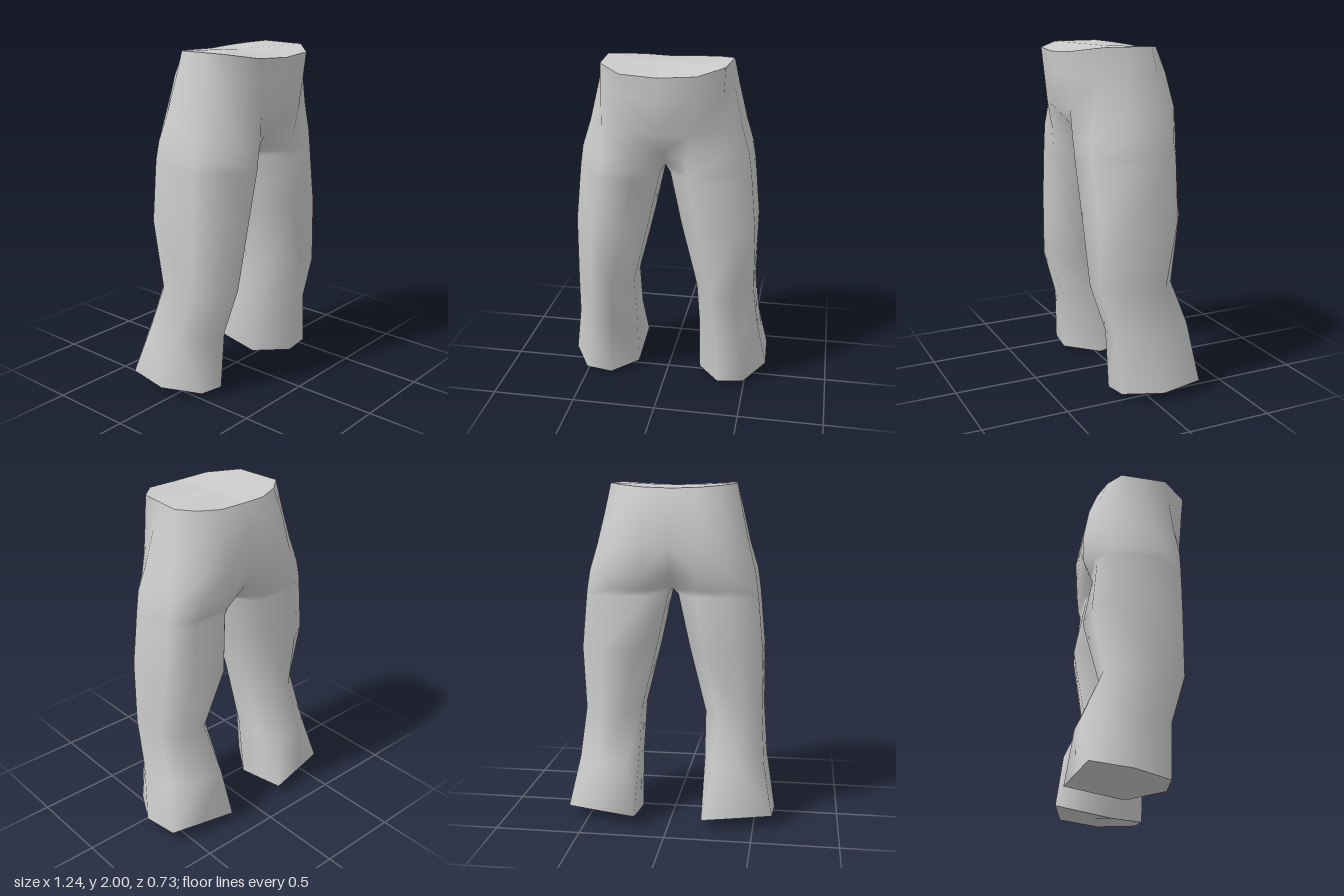
import * as THREE from 'three';
import { mergeVertices } from 'three/addons/utils/BufferGeometryUtils.js';

// Each section runs front inner, front outer, outer front, outer back,
// back outer, back inner, inner back, inner front as [x, z] of the left half.
const HEM_Y = [0.02, 0.035, 0.05, 0.08, 0.07, 0.06, 0.03, 0];
const WAIST_Y = [1.975, 2, 2, 2, 1.99, 1.98, 1.975, 1.965];

const legSections = [
  [HEM_Y, [[0.34, 0.17], [0.5, 0.16], [0.62, -0.055], [0.61, -0.29], [0.42, -0.325], [0.2, -0.365], [0.2, -0.2], [0.2, -0.03]]],
  [0.37, [[0.32, 0.18], [0.46, 0.18], [0.565, 0.03], [0.555, -0.2], [0.42, -0.31], [0.25, -0.32], [0.2, -0.17], [0.2, 0.02]]],
  [0.65, [[0.3, 0.268], [0.43, 0.265], [0.54, 0.12], [0.535, -0.1], [0.43, -0.19], [0.28, -0.195], [0.195, -0.08], [0.195, 0.11]]],
  [1.04, [[0.22, 0.28], [0.42, 0.268], [0.535, 0.13], [0.535, -0.17], [0.4, -0.255], [0.2, -0.28], [0.1, -0.1], [0.1, 0.12]]],
  [1.36, [[0.16, 0.295], [0.36, 0.28], [0.505, 0.12], [0.505, -0.17], [0.36, -0.225], [0.14, -0.22], [0.03, -0.1], [0.03, 0.11]]],
];

// From the crotch upward the two inner points lie on the centre line.
const hipSections = [
  [1.4, [[0.16, 0.297], [0.355, 0.28], [0.5, 0.12], [0.5, -0.17], [0.35, -0.24], [0.14, -0.235], [0, -0.13], [0, 0.1]]],
  [1.5, [[0.15, 0.305], [0.34, 0.28], [0.485, 0.12], [0.485, -0.16], [0.34, -0.255], [0.15, -0.28], [0, -0.23], [0, 0.21]]],
  [1.65, [[0.17, 0.325], [0.34, 0.25], [0.44, 0.1], [0.445, -0.13], [0.32, -0.255], [0.17, -0.285], [0, -0.28], [0, 0.35]]],
  [1.85, [[0.2, 0.335], [0.345, 0.22], [0.395, 0.08], [0.4, -0.1], [0.3, -0.205], [0.16, -0.25], [0, -0.248], [0, 0.36]]],
  [WAIST_Y, [[0.21, 0.345], [0.35, 0.2], [0.36, 0.06], [0.37, -0.08], [0.28, -0.155], [0.15, -0.2], [0, -0.195], [0, 0.365]]],
];

const toLoop = ([y, pts]) => pts.map(([x, z], i) => new THREE.Vector3(x, Array.isArray(y) ? y[i] : y, z));
const mirror = (v) => new THREE.Vector3(-v.x, v.y, v.z);

function fromTriangles(tris) {
  const g = new THREE.BufferGeometry().setFromPoints(tris.flat());
  g.computeVertexNormals();
  return g;
}

// Flat fan closing a loop that runs counterclockwise as seen from its outside
function cap(loop) {
  const c = loop.reduce((s, v) => s.add(v), new THREE.Vector3()).divideScalar(loop.length);
  return fromTriangles(loop.map((v, i) => [c, v, loop[(i + 1) % loop.length]]));
}

export function createModel() {
  const cloth = new THREE.MeshStandardMaterial({ color: 0xcccccc });
  cloth.name = 'grey cloth';
  const group = new THREE.Group();
  group.name = 'trousers';
  const add = (name, geometry) => {
    const mesh = new THREE.Mesh(geometry, cloth);
    mesh.name = name;
    group.add(mesh);
  };

  // Cloth surface: legs are closed tubes, hips are open at the centre line
  const loops = [...legSections, ...hipSections].map(toLoop);
  const tris = [];
  for (let r = 0; r < loops.length - 1; r++) {
    for (let j = 0; j < 8; j++) {
      if (j === 6 && r >= legSections.length) continue;
      const k = (j + 1) % 8;
      const [a, b, c, d] = [loops[r][j], loops[r][k], loops[r + 1][k], loops[r + 1][j]];
      tris.push([a, b, c], [a, c, d]);
    }
  }
  const mirrored = tris.map(([a, b, c]) => [mirror(a), mirror(c), mirror(b)]);
  const surface = fromTriangles([...tris, ...mirrored]);
  surface.deleteAttribute('normal');
  const smooth = mergeVertices(surface, 1e-4);
  smooth.computeVertexNormals();
  add('trouserCloth', smooth);

  // Hem caps
  const hem = loops[0];
  add('leftHem', cap([...hem].reverse()));
  add('rightHem', cap(hem.map(mirror)));

  // Waist cap: left half from front centre to back centre, then back along the right
  const waist = loops[loops.length - 1];
  const half = [waist[7], ...waist.slice(0, 7)];
  add('waistCap', cap([...half, ...half.slice(1, 7).reverse().map(mirror)]));

  return group;
}
